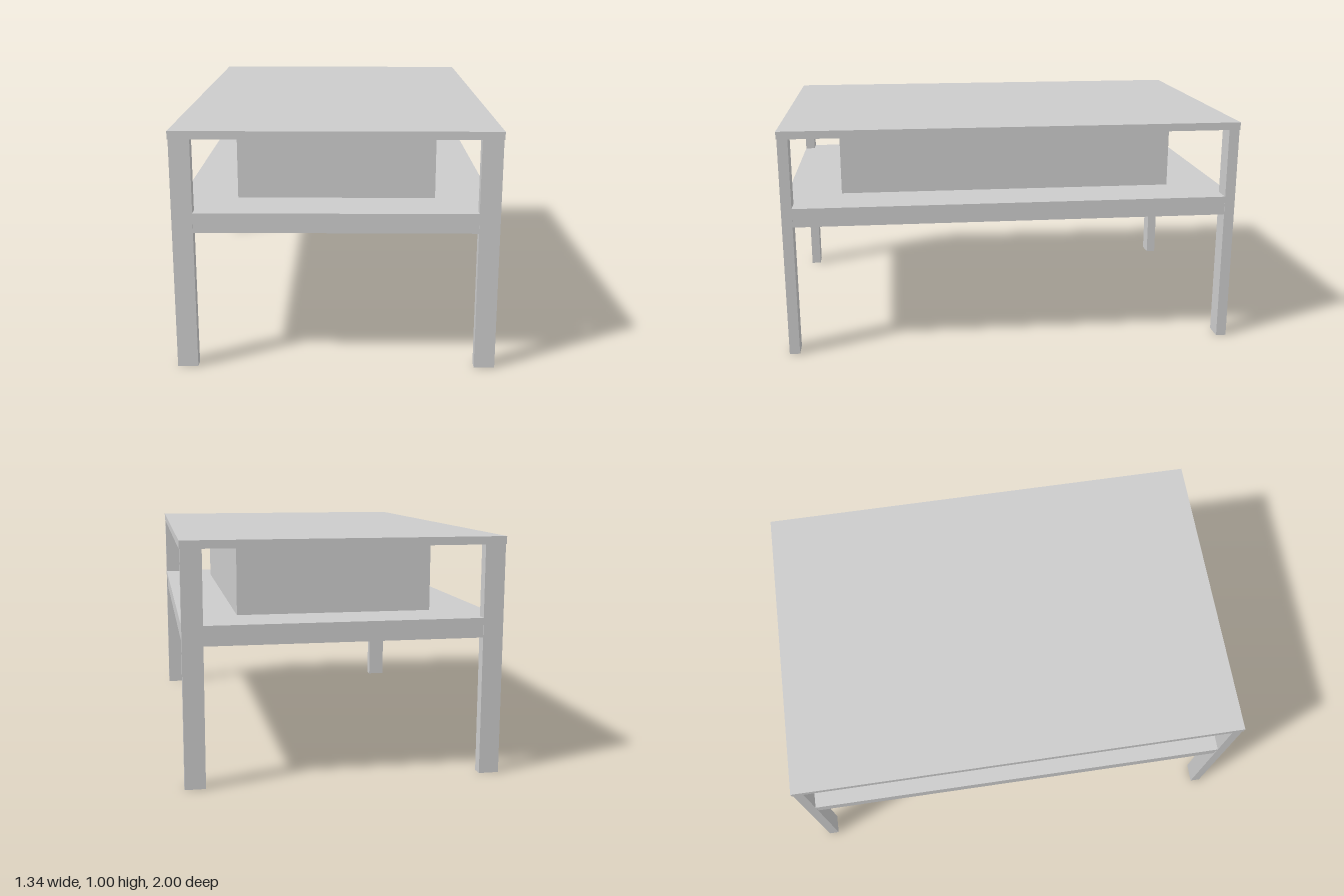
import * as THREE from 'three';

export function createModel() {
  const table = new THREE.Group();
  table.name = 'coffeeTable';
  const material = new THREE.MeshStandardMaterial({ color: 0xcccccc });

  const X = 0.66, Z = 0.994;               // outer half width and half length
  const legX = 0.085, legZ = 0.045;        // leg section
  const topY = 0.967, shelfY = 0.635, shelfTop = 0.665;

  const add = (name, geometry, x, y, z) => {
    const mesh = new THREE.Mesh(geometry, material);
    mesh.name = name;
    mesh.position.set(x, y, z);
    table.add(mesh);
  };
  // Box given by its size, centre in x and z, and bottom height
  const box = (name, w, h, d, x, y, z) =>
    add(name, new THREE.BoxGeometry(w, h, d), x, y + h / 2, z);

  // Table top
  box('tableTop', 1.326, 1 - topY, 1.993, 0, topY, 0);

  // Four flat legs
  for (const sx of [-1, 1])
    for (const sz of [-1, 1])
      box('leg', legX, topY, legZ, sx * (X - legX / 2), 0, sz * (Z - legZ / 2));

  // Shelf: notched around the legs, open below the central box
  const boxX = 0.418, boxZ = 0.75, wall = 0.03;
  const ix = X - legX, iz = Z - legZ, hx = boxX - wall, hz = boxZ - wall;
  const points = (list) => list.map(([x, z]) => new THREE.Vector2(x, z));
  const shape = new THREE.Shape(points([
    [-ix, -Z], [ix, -Z], [ix, -iz], [X, -iz], [X, iz], [ix, iz],
    [ix, Z], [-ix, Z], [-ix, iz], [-X, iz], [-X, -iz], [-ix, -iz],
  ]));
  shape.holes.push(new THREE.Path(points([[-hx, -hz], [-hx, hz], [hx, hz], [hx, -hz]])));
  const shelf = new THREE.ExtrudeGeometry(shape, { depth: shelfTop - shelfY, bevelEnabled: false });
  shelf.rotateX(-Math.PI / 2);
  add('shelf', shelf, 0, shelfY, 0);

  // Rails under the shelf and walls of the central box
  const rail = 0.035, inset = 0.004, railY = 0.582, boxH = topY - shelfTop;
  for (const s of [-1, 1]) {
    box('sideRail', rail, shelfY - railY, 2 * iz, s * (X - inset - rail / 2), railY, 0);
    box('endRail', 2 * ix, shelfY - railY, rail, 0, railY, s * (Z - inset - rail / 2));
    box('boxSideWall', wall, boxH, 2 * boxZ, s * (boxX - wall / 2), shelfTop, 0);
    box('boxEndWall', 2 * hx, boxH, wall, 0, shelfTop, s * (boxZ - wall / 2));
  }

  // The table stands very slightly turned
  table.rotation.y = -0.005;
  const group = new THREE.Group();
  group.add(table);
  return group;
}
